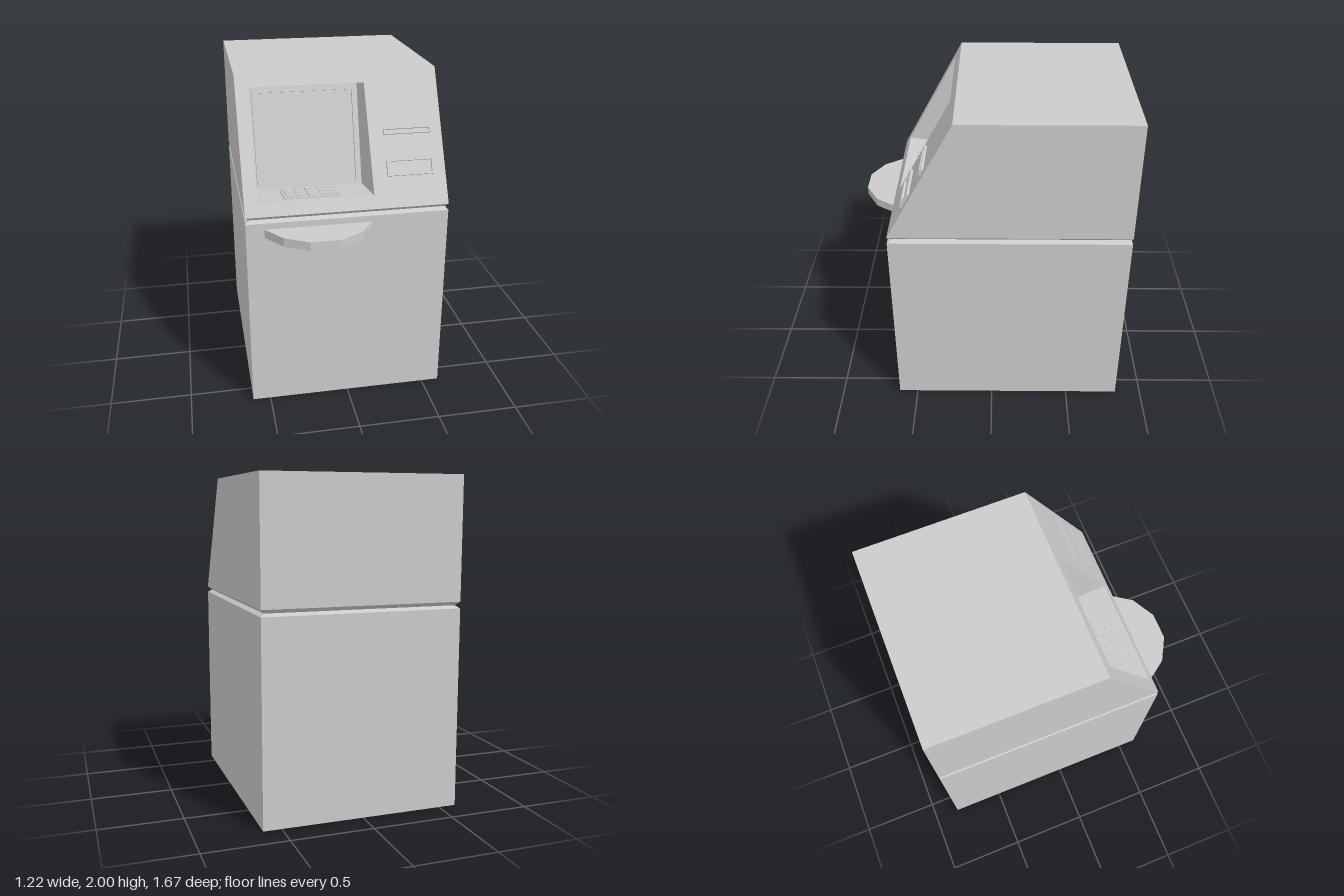
import * as THREE from 'three';

const material = new THREE.MeshStandardMaterial({ color: 0xcccccc, flatShading: true });

function add(parent, name, geometry, x = 0, y = 0, z = 0) {
  const mesh = new THREE.Mesh(geometry, material);
  mesh.name = name;
  mesh.position.set(x, y, z);
  parent.add(mesh);
  return mesh;
}

function tiltedGroup(parent, name, x, y, z, tilt) {
  const group = new THREE.Group();
  group.name = name;
  group.position.set(x, y, z);
  group.rotation.x = tilt;
  parent.add(group);
  return group;
}

// Quads with corners counter-clockwise seen from outside
function quadGeometry(quads) {
  const points = quads.flatMap(([a, b, c, d]) => [a, b, c, a, c, d]).flat();
  const geometry = new THREE.BufferGeometry();
  geometry.setAttribute('position', new THREE.Float32BufferAttribute(points, 3));
  geometry.computeVertexNormals();
  return geometry;
}

function rect(Type, x0, y0, x1, y1) {
  return new Type([[x0, y0], [x1, y0], [x1, y1], [x0, y1]].map(p => new THREE.Vector2(...p)));
}

// Rectangular rim lying in the XY plane
function frameGeometry(x0, y0, x1, y1, border, depth) {
  const shape = rect(THREE.Shape, x0, y0, x1, y1);
  shape.holes.push(rect(THREE.Path, x0 + border, y0 + border, x1 - border, y1 - border));
  return new THREE.ExtrudeGeometry(shape, { depth, bevelEnabled: false });
}

export function createModel() {
  const model = new THREE.Group();
  model.name = 'cashMachine';

  const W = 0.61, BACK = -0.835, FRONT = 0.62, SLOPE_Y = 1.26, TOP_Z = 0.21;
  const run = (FRONT - TOP_Z) / (2 - SLOPE_Y);
  const stretch = Math.hypot(1, run);
  const slopeZ = y => FRONT - (y - SLOPE_Y) * run;
  const along = y => (y - SLOPE_Y) * stretch;

  // Cabinet: stacked rectangular sections with a V groove, open at the slope
  const ring = (y, front, inset = 0) => [
    [-W + inset, y, front - inset], [W - inset, y, front - inset],
    [W - inset, y, BACK + inset], [-W + inset, y, BACK + inset],
  ];
  const rings = [
    ring(0, FRONT), ring(1.22, FRONT), ring(1.237, FRONT, 0.025),
    ring(SLOPE_Y, FRONT), ring(2, TOP_Z),
  ];
  const walls = [[...rings[0]].reverse(), rings[4]];
  for (let i = 0; i < 4; i++) {
    for (let s = 0; s < 4; s++) {
      if (i === 3 && s === 0) continue;
      const t = (s + 1) % 4;
      walls.push([rings[i][s], rings[i][t], rings[i + 1][t], rings[i + 1][s]]);
    }
  }
  add(model, 'cabinet', quadGeometry(walls));

  // Sloping front panel with the screen opening
  const X0 = -0.53, X1 = 0.16, Y0 = 1.33, Y1 = 1.93;
  const panel = tiltedGroup(model, 'frontPanel', 0, SLOPE_Y, FRONT, -Math.atan(run));
  const face = rect(THREE.Shape, -W, 0, W, along(2));
  face.holes.push(rect(THREE.Path, X0, along(Y0), X1, along(Y1)));
  add(panel, 'panelFace', new THREE.ShapeGeometry(face));

  // Recess behind the opening
  const floorBack = { y: 1.28, z: 0.24 }, roofBack = { y: 1.88, z: 0.05 };
  const corners = x => [
    [x, Y0, slopeZ(Y0)], [x, floorBack.y, floorBack.z],
    [x, roofBack.y, roofBack.z], [x, Y1, slopeZ(Y1)],
  ];
  const L = corners(X0), R = corners(X1);
  const recess = [L, [...R].reverse()];
  for (let i = 0; i < 3; i++) recess.push([L[i], R[i], R[i + 1], L[i + 1]]);
  add(model, 'recess', quadGeometry(recess));

  // Screen with a thin raised rim, on the recess back
  const lean = Math.atan((floorBack.z - roofBack.z) / (roofBack.y - floorBack.y));
  const screen = tiltedGroup(model, 'screen', 0, floorBack.y, floorBack.z, -lean);
  add(screen, 'screenRim', frameGeometry(-0.5, 0.01, 0.13, 0.6, 0.01, 0.03));
  add(screen, 'screenGlass', new THREE.BoxGeometry(0.61, 0.57, 0.012), -0.185, 0.305, 0.006);

  // Keypad on the recess floor: three small columns and one wide column
  const rise = (Y0 - floorBack.y) / (slopeZ(Y0) - floorBack.z);
  const padZ = 0.4225;
  const keypad = tiltedGroup(model, 'keypad', -0.2, floorBack.y + (padZ - floorBack.z) * rise, padZ, -Math.atan(rise));
  add(keypad, 'keypadBase', new THREE.BoxGeometry(0.34, 0.012, 0.217), 0, 0.006, 0);
  for (const z of [-0.073, 0, 0.07]) {
    for (const [x, w] of [[-0.13, 0.048], [-0.065, 0.048], [0, 0.048], [0.103, 0.107]]) {
      add(keypad, 'key', new THREE.BoxGeometry(w, 0.01, 0.05), x, 0.016, z);
    }
  }

  // Card and cash slots: raised rims on the slope
  for (const [name, y0, y1, border] of [['cardSlot', 1.645, 1.68, 0.01], ['cashSlot', 1.425, 1.515, 0.015]]) {
    add(panel, name, frameGeometry(0.25, along(y0), 0.54, along(y1), border, 0.016));
  }

  // Faceted shelf below the slope
  const outline = [[-0.5, 0.62], [-0.405, 0.755], [-0.265, 0.835], [-0.095, 0.835], [0.05, 0.755], [0.142, 0.62]];
  const shelf = new THREE.ExtrudeGeometry(
    new THREE.Shape(outline.map(([x, z]) => new THREE.Vector2(x, z))), { depth: 0.053, bevelEnabled: false });
  shelf.rotateX(Math.PI / 2);
  add(model, 'shelf', shelf, 0, 1.182, 0);

  return model;
}
